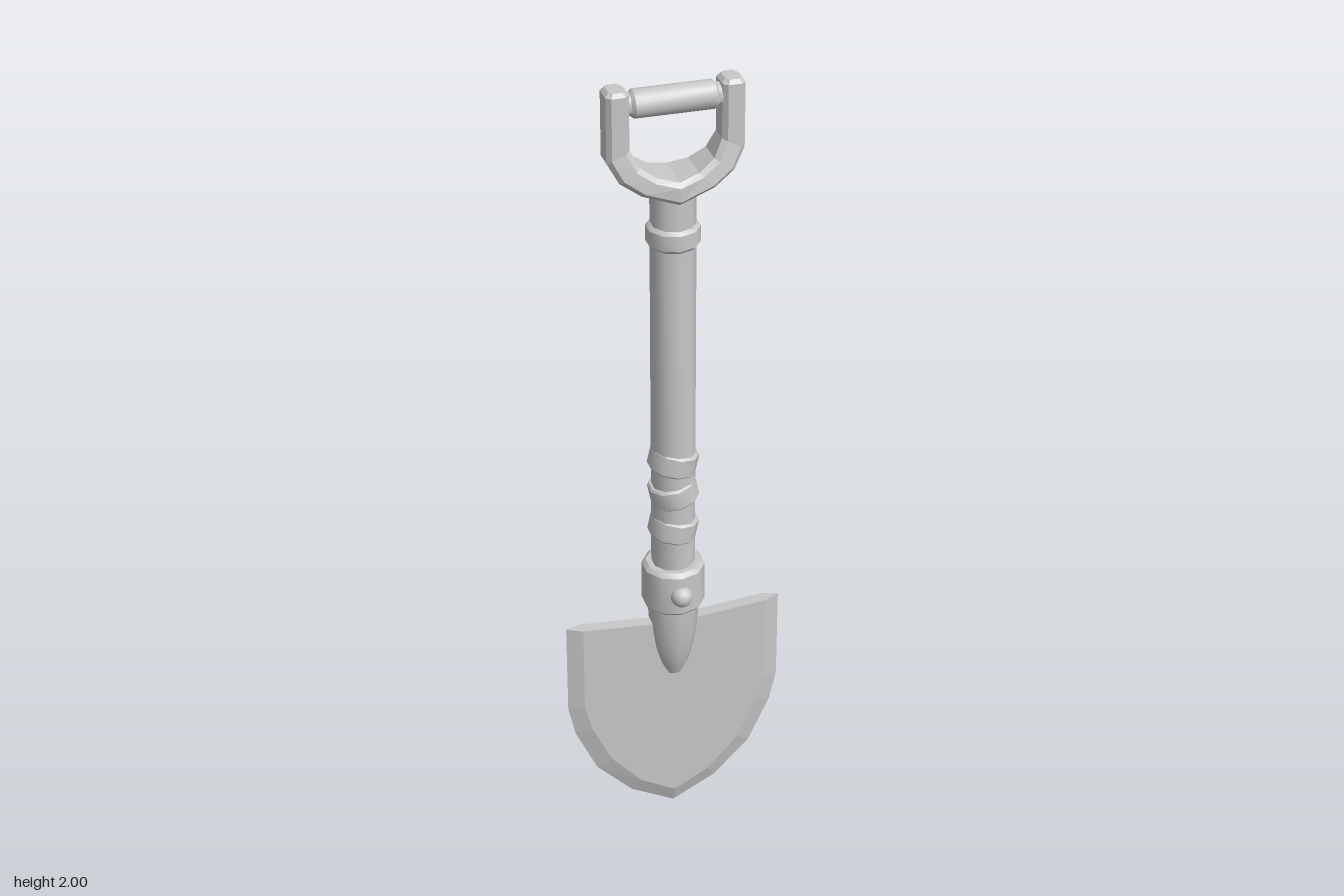
import * as THREE from 'three';
import { toCreasedNormals } from 'three/addons/utils/BufferGeometryUtils.js';

const SIDES = 10;

// Collects convex polygons into a faceted geometry
function facets(polygons) {
  const pos = [];
  for (const p of polygons) {
    for (let k = 1; k < p.length - 1; k++) pos.push(...p[0], ...p[k], ...p[k + 1]);
  }
  const g = new THREE.BufferGeometry();
  g.setAttribute('position', new THREE.Float32BufferAttribute(pos, 3));
  g.computeVertexNormals();
  return g;
}

// Turned part from [radius, y] pairs, bottom to top
function turned(profile, sides = SIDES) {
  const pts = profile.map(([r, y]) => new THREE.Vector2(r, y));
  return toCreasedNormals(new THREE.LatheGeometry(pts, sides), 0.7);
}

// Chamfered ring centred on y = 0
function ring(r, h, c, inner) {
  const t = h / 2;
  return turned([[inner, -t], [r - c, -t], [r, -t + c], [r, t - c], [r - c, t], [inner, t]]);
}

// Mirrors a left half (ending on the centre line) to the right
function mirrored(half) {
  return [...half, ...half.slice(0, -1).reverse().map(([x, ...rest]) => [-x, ...rest])];
}

// Flat blade with a sharp bevelled rim and a slightly dipped top edge
function bladeGeometry() {
  const t = 0.016;
  const O = mirrored([[-0.272, 0.592], [-0.272, 0.35], [-0.255, 0.27], [-0.2, 0.15], [-0.11, 0.058], [0, 0]])
    .map(([x, y]) => [x, y, 0]);
  const inner = mirrored([[-0.233, 0.589], [-0.233, 0.355], [-0.215, 0.285], [-0.165, 0.18], [-0.09, 0.095], [0, 0.045]]);
  const F = inner.map(([x, y]) => [x, y, t]);
  const B = inner.map(([x, y]) => [x, y, -t]);
  const cf = [0, 0.57, t], cb = [0, 0.57, -t];
  const n = O.length - 1;
  const polys = [[cf, cb, B[0], O[0], F[0]], [cb, cf, F[n], O[n], B[n]]];
  for (let i = 0; i < n; i++) {
    polys.push([O[i], O[i + 1], F[i + 1], F[i]], [B[i], B[i + 1], O[i + 1], O[i]]);
    polys.push([cf, F[i], F[i + 1]], [cb, B[i + 1], B[i]]);
  }
  return facets(polys);
}

// U-shaped yoke: chamfered section swept down, around and up, deeper at the base
function yokeGeometry() {
  // outer x, outer y, inner x, inner y, half depth
  const stations = mirrored([
    [-0.15, 2.0, 0.115, 2.0, 0.026],
    [-0.159, 1.991, 0.106, 1.991, 0.034],
    [-0.159, 1.836, 0.106, 1.862, 0.034],
    [-0.133, 1.788, 0.086, 1.82, 0.044],
    [-0.085, 1.755, 0.048, 1.794, 0.054],
    [0, 1.727, 0, 1.782, 0.064],
  ]);
  const mid = (stations.length - 1) / 2;
  const c = 0.2, d = 0.011;
  const loops = stations.map(([ox, oy, ix, iy, h], i) => {
    const x2 = i <= mid ? -ix : ix;
    const at = (s, z) => [ox + (x2 - ox) * s, oy + (iy - oy) * s, z];
    return [at(0, h - d), at(c, h), at(1 - c, h), at(1, h - d),
      at(1, d - h), at(1 - c, -h), at(c, -h), at(0, d - h)];
  });
  const polys = [loops[0], [...loops[loops.length - 1]].reverse()];
  for (let i = 0; i < loops.length - 1; i++) {
    for (let j = 0; j < 8; j++) {
      const k = (j + 1) % 8;
      polys.push([loops[i][j], loops[i + 1][j], loops[i + 1][k], loops[i][k]]);
    }
  }
  return facets(polys);
}

export function createModel() {
  const model = new THREE.Group();
  model.name = 'shovel';
  const grey = new THREE.MeshStandardMaterial({ color: 0xc8c8c8 });

  const add = (name, geometry, x = 0, y = 0, z = 0) => {
    const mesh = new THREE.Mesh(geometry, grey);
    mesh.name = name;
    mesh.position.set(x, y, z - 0.012);
    model.add(mesh);
    return mesh;
  };

  // Blade and the rounded socket that holds it
  add('blade', bladeGeometry());
  add('socket', turned([[0, 0.412], [0.022, 0.418], [0.038, 0.452], [0.05, 0.5], [0.059, 0.56], [0.064, 0.64]]));

  // Shaft with its collars and bolt
  add('shaft', turned([[0, 0.62], [0.053, 0.62], [0.053, 1.75], [0, 1.75]]));
  add('lowerCollar', ring(0.077, 0.122, 0.01, 0.04), 0, 0.687);
  add('upperCollar', ring(0.063, 0.054, 0.008, 0.04), 0, 1.634);
  add('bolt', new THREE.SphereGeometry(0.027, 14, 10), 0, 0.685, 0.072);

  // Three tilted bands wrapped round the shaft
  [[1.037, -0.22], [0.95, 0.2], [0.85, -0.2]].forEach(([y, tilt], i) => {
    add('wrapBand' + (i + 1), ring(0.059, 0.056, 0.005, 0.045), 0, y).rotation.z = tilt;
  });

  // Handle yoke and crossbar grip
  add('handleYoke', yokeGeometry());
  const grip = turned([[0.026, -0.125], [0.026, -0.1], [0.033, -0.092], [0.033, 0.092], [0.026, 0.1], [0.026, 0.125]], 16);
  add('grip', grip, 0, 1.96).rotation.z = Math.PI / 2;

  return model;
}
